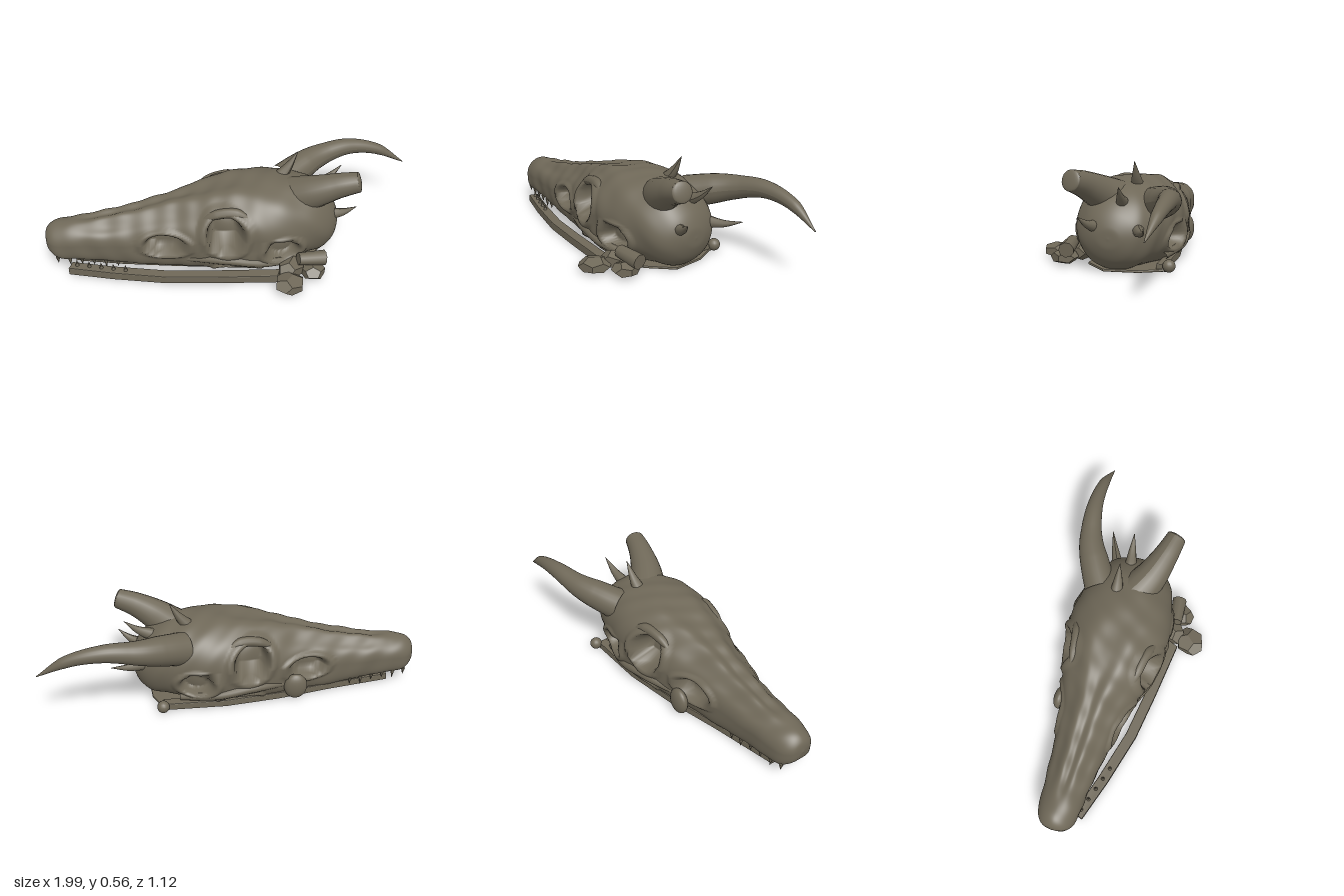
import * as THREE from 'three';

const bone = new THREE.MeshStandardMaterial({ color: 0x6f6858 });
bone.name = 'weathered bone';

const V = (x, y, z) => new THREE.Vector3(x, y, z);
const clamp = THREE.MathUtils.clamp;
const smooth = THREE.MathUtils.smoothstep;

function add(parent, geometry, name) {
  const mesh = new THREE.Mesh(geometry, bone);
  mesh.name = name;
  parent.add(mesh);
  return mesh;
}

// Tapered sweep along a smooth path; radii are spread evenly over the path
function sweep(points, radii, sides = 20, steps = 36) {
  const path = new THREE.CatmullRomCurve3(points);
  const geo = new THREE.TubeGeometry(path, steps, 1, sides, false);
  const pos = geo.attributes.position, p = V(), c = V();
  for (let i = 0; i <= steps; i++) {
    const f = (i / steps) * (radii.length - 1), k = Math.min(Math.floor(f), radii.length - 2);
    const r = THREE.MathUtils.lerp(radii[k], radii[k + 1], f - k);
    path.getPointAt(i / steps, c);
    for (let j = 0; j <= sides; j++) {
      const n = i * (sides + 1) + j;
      p.fromBufferAttribute(pos, n).sub(c).multiplyScalar(r).add(c);
      pos.setXYZ(n, p.x, p.y, p.z);
    }
  }
  geo.computeVertexNormals();
  return geo;
}

// Stations along the skull: [position, half width, bottom, top]
const stations = [
  [-1.1, 0, 0.18, 0.18], [-1.085, 0.06, 0.12, 0.235], [-1.03, 0.1, 0.075, 0.268], [-0.93, 0.115, 0.065, 0.283],
  [-0.8, 0.125, 0.045, 0.292], [-0.6, 0.15, 0.015, 0.33], [-0.42, 0.18, 0, 0.375], [-0.27, 0.225, 0, 0.412],
  [-0.1, 0.268, 0, 0.448], [0.06, 0.285, 0, 0.46], [0.2, 0.268, 0, 0.452], [0.31, 0.24, 0, 0.43],
  [0.4, 0.2, 0.01, 0.385], [0.465, 0.145, 0.06, 0.32], [0.5, 0.07, 0.13, 0.25], [0.507, 0, 0.19, 0.19],
];
const MID = 0.045;

// Sockets and openings: [position, height, half length, half height, depth]
const sockets = [
  [-0.14, 0.26, 0.1, 0.1, 0.12],
  [-0.46, 0.18, 0.11, 0.06, 0.06],
  [0.16, 0.15, 0.095, 0.062, 0.07],
  [-0.08, 0.03, 0.1, 0.035, 0.06],
];

function skullGeometry() {
  const curve = (f) => new THREE.CatmullRomCurve3(stations.map(f), false, 'catmullrom', 0.5);
  const widths = curve((s) => V(s[0], s[1], 0)), heights = curve((s) => V(s[0], s[2], s[3]));
  const geo = new THREE.PlaneGeometry(1, 1, 190, 140);
  const pos = geo.attributes.position;
  for (let i = 0; i < pos.count; i++) {
    const s = pos.getX(i) + 0.5, a = (pos.getY(i) + 0.5) * Math.PI * 2 - Math.PI / 2;
    const wp = widths.getPoint(s), hp = heights.getPoint(s);
    const u = wp.x, w = Math.max(0, wp.y), mid = (hp.y + hp.z) / 2, half = (hp.z - hp.y) / 2;
    const cos = Math.cos(a), sin = Math.sin(a);
    // Round braincase, squarer underside along the face, broad roof over the eyes
    const face = 1 - smooth(u, 0.1, 0.35);
    const roof = smooth(u, -0.4, -0.15) * face;
    const low = 1 - 0.5 * face;
    const power = sin < 0 ? low : 1 + 0.1 * face - 0.25 * roof;
    let v = Math.sign(cos) * Math.pow(Math.abs(cos), power) * w;
    let y = mid + Math.sign(sin) * Math.pow(Math.abs(sin), sin < 0 ? low : 1) * half;
    // Paired ridges with a shallow groove along the snout
    if (sin > 0) {
      const snout = smooth(u, -1, -0.75) * (1 - smooth(u, -0.2, 0.1));
      y += snout * 0.01 * sin * -Math.cos(cos * 9);
    }
    // Sunken sockets with raised rims
    const side = Math.abs(cos) > 0.12 ? Math.sign(cos) : 0;
    for (const [hu, hy, ru, ry, depth] of sockets) {
      const q = Math.hypot((u - hu) / ru, (y - hy) / ry);
      if (q < 1) v -= side * Math.min(Math.abs(v) * 0.8, depth * clamp((1 - q) * 3.5, 0, 1));
      else if (q < 1.5) v += side * 0.014 * Math.sin((q - 1) * 2 * Math.PI);
    }
    // Uneven bone surface
    const rough = 0.004 * Math.sin(u * 31 + y * 23) * Math.sin(v * 27 + u * 13) * Math.min(1, w * 8);
    y = Math.max(0, y + rough * Math.max(0, sin));
    v += rough * cos;
    pos.setXYZ(i, u, y, v + MID);
  }
  geo.computeVertexNormals();
  return geo;
}

// Flat piece lying on the ground, cut from an outline of [position, side] points
function slab(parent, outline, height, name) {
  const shape = new THREE.Shape(outline.map(([u, v]) => new THREE.Vector2(u, -v)));
  const geo = new THREE.ExtrudeGeometry(shape, { depth: height - 0.01, bevelThickness: 0.005, bevelSize: 0.005, bevelSegments: 2 });
  geo.rotateX(-Math.PI / 2).translate(0, 0.005, 0);
  add(parent, geo, name);
}

// Faceted fragment resting on the ground
function fragment(parent, x, y, z, sx, sy, sz, turn, name) {
  const rock = add(parent, new THREE.DodecahedronGeometry(1, 0), name);
  rock.position.set(x, y, z);
  rock.scale.set(sx, sy, sz);
  rock.rotation.y = turn;
}

function spike(parent, base, tip, radius, name) {
  const bend = base.clone().lerp(tip, 0.5).add(V(0, -0.012, 0));
  add(parent, sweep([base, bend, tip], [radius, radius * 0.55, 0.001], 10, 12), name);
}

export function createModel() {
  const model = new THREE.Group();
  model.name = 'hornedSkull';

  // Head turned off the front axis
  const head = new THREE.Group();
  head.name = 'head';
  head.rotation.y = -Math.PI / 6;
  model.add(head);
  add(head, skullGeometry(), 'skull');

  for (const side of [1, -1]) {
    const at = (u, y, v) => V(u, y, MID + side * v);
    const label = side > 0 ? 'front' : 'back';

    // Brow over the eye and cheek arch below it
    add(head, sweep([at(-0.28, 0.3, 0.17), at(-0.2, 0.355, 0.18), at(-0.08, 0.37, 0.2), at(0.02, 0.32, 0.235)],
      [0.012, 0.026, 0.028, 0.012], 12), label + 'Brow');
    add(head, sweep([at(-0.36, 0.09, 0.175), at(-0.15, 0.11, 0.245), at(0.05, 0.085, 0.265), at(0.25, 0.06, 0.22)],
      [0.015, 0.028, 0.026, 0.02], 12), label + 'CheekArch');

    // Upper teeth
    for (let i = 0; i < 6; i++) {
      const f = i / 5, len = i % 3 === 1 ? 0.055 : 0.04;
      const tooth = add(head, new THREE.ConeGeometry(0.012, len, 7), label + 'UpperTooth');
      tooth.position.copy(at(-1.04 + f * 0.32, 0.08 - f * 0.025 - len / 2 + 0.01, 0.075 + f * 0.04));
      tooth.rotation.x = Math.PI;
    }
  }

  // Lower jaw: one branch lies loose at the front, the other joins the flat base
  slab(head, [[-0.98, 0.165], [-0.75, 0.237], [-0.465, 0.31], [-0.2, 0.345], [0.12, 0.38], [0.14, 0.33],
    [-0.2, 0.295], [-0.465, 0.26], [-0.75, 0.187], [-0.965, 0.12]], 0.045, 'frontJaw');
  slab(head, [[-0.95, 0.0], [-0.6, -0.075], [-0.3, -0.15], [0, -0.2], [0.34, -0.21], [0.34, -0.165],
    [0, -0.155], [-0.3, -0.105], [-0.6, -0.03], [-0.95, 0.045]], 0.04, 'backJaw');
  slab(head, [[-0.95, 0.0], [-0.6, -0.07], [-0.3, -0.145], [0, -0.195], [0.34, -0.2], [0.4, -0.08], [0.42, 0.1],
    [0.3, 0.22], [0, 0.24], [-0.4, 0.17], [-0.7, 0.11], [-0.93, 0.05]], 0.014, 'base');
  for (let i = 0; i < 5; i++) {
    const tooth = add(head, new THREE.ConeGeometry(0.013, 0.045, 7), 'lowerTooth');
    tooth.position.set(-0.94 + i * 0.065, 0.06, 0.15 + i * 0.02);
  }
  // Bony flange low on the far cheek
  const flange = add(head, new THREE.SphereGeometry(1, 20, 14), 'cheekFlange');
  flange.position.set(-0.39, 0.085, -0.16);
  flange.scale.set(0.065, 0.075, 0.035);

  // Whole horn
  add(model, sweep([V(0.26, 0.33, 0.01), V(0.38, 0.36, 0.005), V(0.52, 0.39, 0.01), V(0.7, 0.418, 0.065), V(0.86, 0.388, 0.15), V(1.0, 0.295, 0.25)],
    [0.092, 0.08, 0.058, 0.043, 0.03, 0.002], 24, 60), 'wholeHorn');

  // Broken horn with its blunt end
  const end = V(0.395, 0.488, 0.468);
  add(model, sweep([V(0.18, 0.35, 0.2), V(0.24, 0.405, 0.3), V(0.32, 0.458, 0.395), end],
    [0.11, 0.09, 0.07, 0.055], 18, 24), 'brokenHorn');
  const stump = add(model, new THREE.SphereGeometry(0.055, 18, 12), 'brokenHornEnd');
  stump.position.copy(end);
  stump.scale.z = 0.25;
  stump.lookAt(end.clone().add(V(0.07, 0.025, 0.07)));

  // Crest spikes on the braincase
  spike(model, V(0.17, 0.41, 0.08), V(0.27, 0.56, 0.12), 0.04, 'crownSpike');
  spike(model, V(0.34, 0.36, 0.2), V(0.48, 0.46, 0.25), 0.035, 'rearSpike');
  spike(model, V(0.41, 0.23, 0.14), V(0.62, 0.26, 0.16), 0.036, 'napeSpike');
  spike(model, V(0.33, 0.24, 0.33), V(0.42, 0.31, 0.445), 0.036, 'sideSpike');

  // Jaw joint knob
  const knob = add(model, new THREE.SphereGeometry(0.034, 16, 12), 'jawKnob');
  knob.position.set(0.415, 0.034, -0.025);

  // Loose bone fragments beside the skull
  fragment(model, -0.07, 0.04, 0.475, 0.09, 0.042, 0.084, 0.3, 'largeFragment');
  fragment(model, 0.1, 0.04, 0.465, 0.078, 0.042, 0.07, 0.9, 'middleFragment');
  fragment(model, 0.02, 0.05, 0.38, 0.1, 0.052, 0.075, 0.5, 'innerFragment');
  const shaft = add(model, new THREE.CylinderGeometry(0.034, 0.042, 0.15, 9), 'looseVertebra');
  shaft.position.set(0.11, 0.1, 0.44);
  shaft.rotation.set(0, -0.4, 1.45);

  return model;
}
